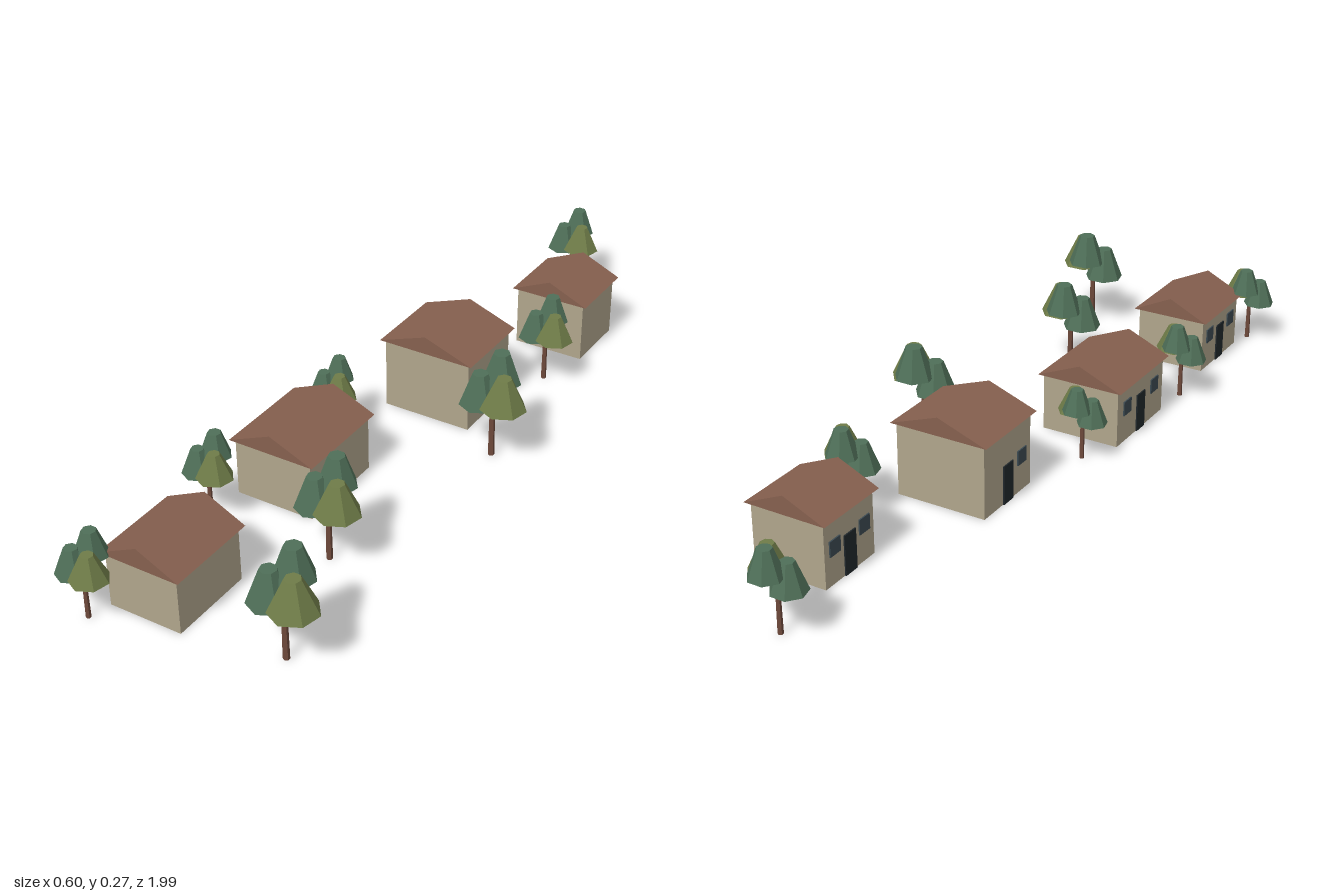
import * as THREE from 'three';

const paint = (name, color, extra = {}) => {
  const m = new THREE.MeshStandardMaterial({ color, ...extra });
  m.name = name;
  return m;
};

export function createModel() {
  const wall = paint('plaster', 0xb0a58c);
  const roofing = paint('roof tile', 0x86604f);
  const bark = paint('bark', 0x6f4a3c, { flatShading: true });
  const pine = paint('dark foliage', 0x4f6f58, { flatShading: true });
  const olive = paint('olive foliage', 0x6f7c48, { flatShading: true });
  const doorPaint = paint('door', 0x20272b);
  const glass = paint('window glass', 0x3c4a52);

  const village = new THREE.Group();
  village.name = 'village';

  const add = (parent, name, geometry, material, x, y, z) => {
    const mesh = new THREE.Mesh(geometry, material);
    mesh.name = name;
    mesh.position.set(x, y, z);
    parent.add(mesh);
    return mesh;
  };

  // House: box walls, gabled roof with ridge along z, door and windows on the -x side
  function house({ x, z, w, l, h, top, windows }) {
    const g = new THREE.Group();
    g.name = 'house';
    g.position.set(x, 0, z);
    village.add(g);
    add(g, 'walls', new THREE.BoxGeometry(w, h, l), wall, 0, h / 2, 0);

    const half = w / 2 + 0.0115, depth = l + 0.02;
    const gable = new THREE.Shape([
      new THREE.Vector2(-half, 0),
      new THREE.Vector2(half, 0),
      new THREE.Vector2(0, top - h),
    ]);
    const roof = new THREE.ExtrudeGeometry(gable, { depth, bevelEnabled: false });
    add(g, 'roof', roof, roofing, 0, h, -depth / 2);

    const face = -w / 2 - 0.001;
    add(g, 'door', new THREE.BoxGeometry(0.005, 0.1, 0.042), doorPaint, face, 0.05, 0);
    for (const side of windows) {
      add(g, 'window', new THREE.BoxGeometry(0.005, 0.038, 0.038), glass, face, 0.092, side * l * 0.3);
    }
  }

  // Tree: thin tapered trunk and three overlapping seven-sided crowns
  const crowns = [
    { name: 'upperCrown', x: 0, z: -0.04, low: 0.187, high: 0.267, r: 0.05, tip: 0.021, mat: pine },
    { name: 'leftCrown', x: -0.035, z: 0, low: 0.137, high: 0.221, r: 0.052, tip: 0.02, mat: pine },
    { name: 'frontCrown', x: 0.039, z: 0.019, low: 0.157, high: 0.239, r: 0.058, tip: 0.019, mat: olive },
  ];
  function tree(x, z, scale) {
    const g = new THREE.Group();
    g.name = 'tree';
    g.position.set(x, 0, z);
    g.scale.setScalar(scale);
    village.add(g);
    add(g, 'trunk', new THREE.CylinderGeometry(0.006, 0.008, 0.18, 6), bark, 0, 0.09, 0);
    for (const c of crowns) {
      const geo = new THREE.CylinderGeometry(c.tip, c.r, c.high - c.low, 7);
      add(g, c.name, geo, c.mat, c.x, (c.low + c.high) / 2, c.z);
    }
  }

  [
    { x: -0.125, z: 0.771, w: 0.189, l: 0.218, h: 0.143, top: 0.194, windows: [-1, 1] },
    { x: -0.125, z: 0.276, w: 0.208, l: 0.246, h: 0.15, top: 0.199, windows: [-1, 1] },
    { x: -0.017, z: -0.216, w: 0.237, l: 0.206, h: 0.189, top: 0.236, windows: [1] },
    { x: 0.094, z: -0.656, w: 0.191, l: 0.18, h: 0.162, top: 0.209, windows: [-1, 1] },
  ].forEach(house);

  [
    [0.204, 0.828, 1],
    [0.095, 0.5, 0.96],
    [0.204, -0.05, 1],
    [0.149, -0.434, 0.84],
    [-0.018, -0.925, 0.83],
    [-0.181, 0.061, 0.74],
    [-0.234, 0.5, 0.78],
    [-0.234, 0.937, 0.79],
  ].forEach(([x, z, s]) => tree(x, z, s));

  return village;
}
